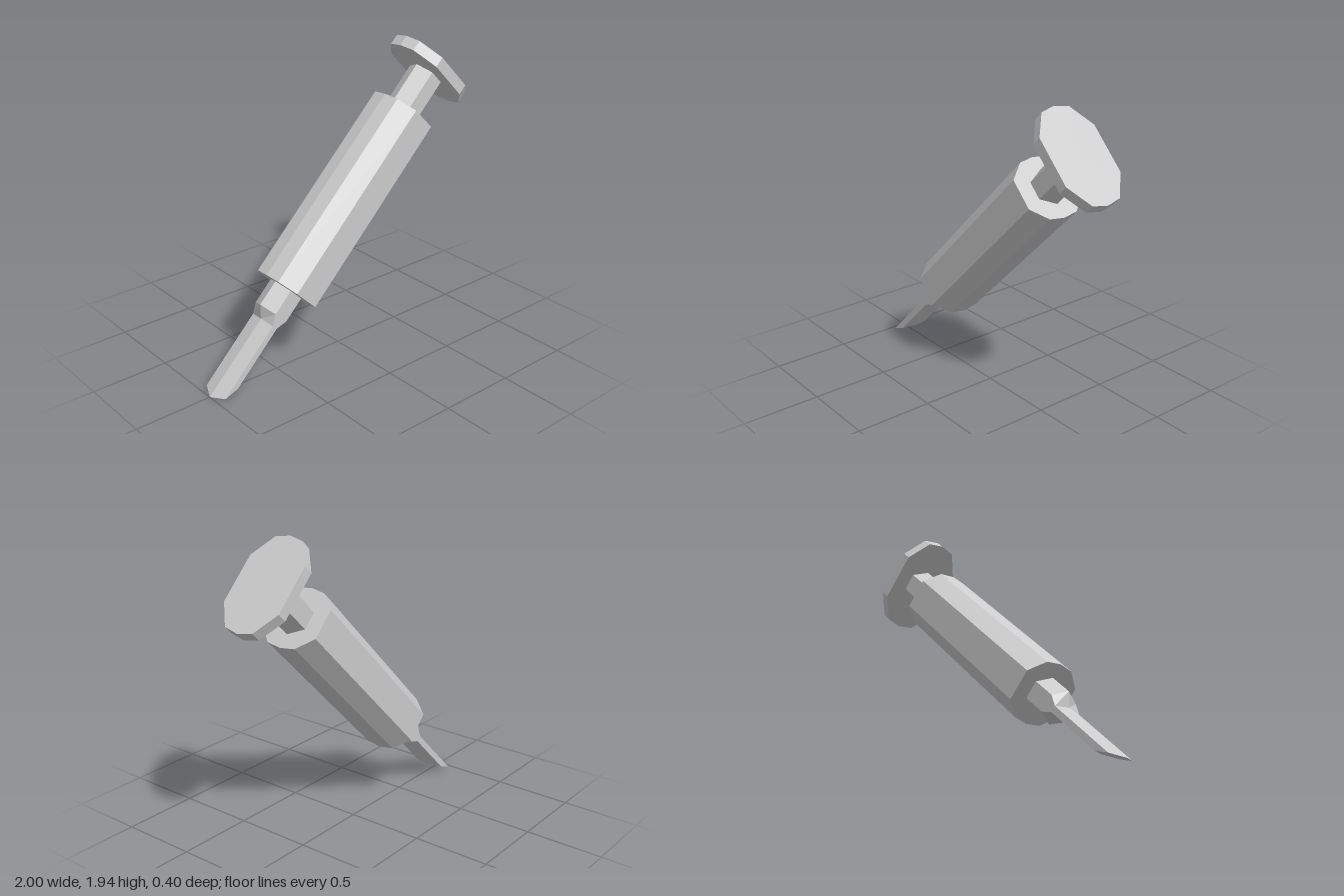
import * as THREE from 'three';

const material = new THREE.MeshStandardMaterial({ color: 0xcccccc, flatShading: true });

// Mirror a quarter outline [x, z] (from the +x axis towards +z) into a closed loop.
function outline(quarter) {
  const half = quarter.concat(quarter.map(([x, z]) => [-x, z]).reverse());
  return half.concat(half.slice(1, -1).reverse().map(([x, z]) => [x, -z]));
}

// Loft an outline along y. Each ring has a height y, an x scale and a slant (y per x).
function loft(name, quarter, rings) {
  const loop = outline(quarter);
  const n = loop.length;
  const sections = rings.map(({ y, scale = 1, slant = 0 }) =>
    loop.map(([x, z]) => [x * scale, y + slant * x * scale, z]));
  const positions = [];
  const triangle = (a, b, c) => positions.push(...a, ...b, ...c);
  const last = sections.length - 1;

  for (let i = 0; i < n; i++) {
    const j = (i + 1) % n;
    for (let s = 0; s < last; s++) {
      const low = sections[s], high = sections[s + 1];
      triangle(low[i], high[i], low[j]);
      triangle(high[i], high[j], low[j]);
    }
    // End caps
    triangle([0, rings[0].y, 0], sections[0][i], sections[0][j]);
    triangle([0, rings[last].y, 0], sections[last][j], sections[last][i]);
  }

  const geometry = new THREE.BufferGeometry();
  geometry.setAttribute('position', new THREE.Float32BufferAttribute(positions, 3));
  geometry.computeVertexNormals();
  const mesh = new THREE.Mesh(geometry, material);
  mesh.name = name;
  return mesh;
}

export function createModel() {
  const model = new THREE.Group();
  model.name = 'syringe';

  // Everything is built upright along y, then leaned over.
  const body = new THREE.Group();
  body.name = 'syringeBody';
  body.rotation.z = -Math.PI / 4;
  body.position.set(-0.473, 0.473, 0);
  model.add(body);

  const rod = [[0.11, 0], [0.055, 0.1]];
  const needle = [[0.04, 0], [0.02, 0.1]];

  body.add(
    loft('barrel', [[0.2, 0], [0.185, 0.1], [0.095, 0.2]], [{ y: 0.083 }, { y: 1.407 }]),
    loft('plungerRod', rod, [{ y: 1.407 }, { y: 1.693 }]),
    loft('thumbPlate', [[0.316, 0], [0.295, 0.1], [0.153, 0.2]], [{ y: 1.693 }, { y: 1.763 }]),
    // Straight collar that tapers down to the needle
    loft('needleHub', rod, [{ y: -0.15, scale: 0.364 }, { y: -0.083 }, { y: 0.083 }]),
    // Flat needle with a slanted cut at the tip
    loft('needle', needle, [{ y: -0.617, slant: 2.17 }, { y: -0.15 }]),
  );
  return model;
}
